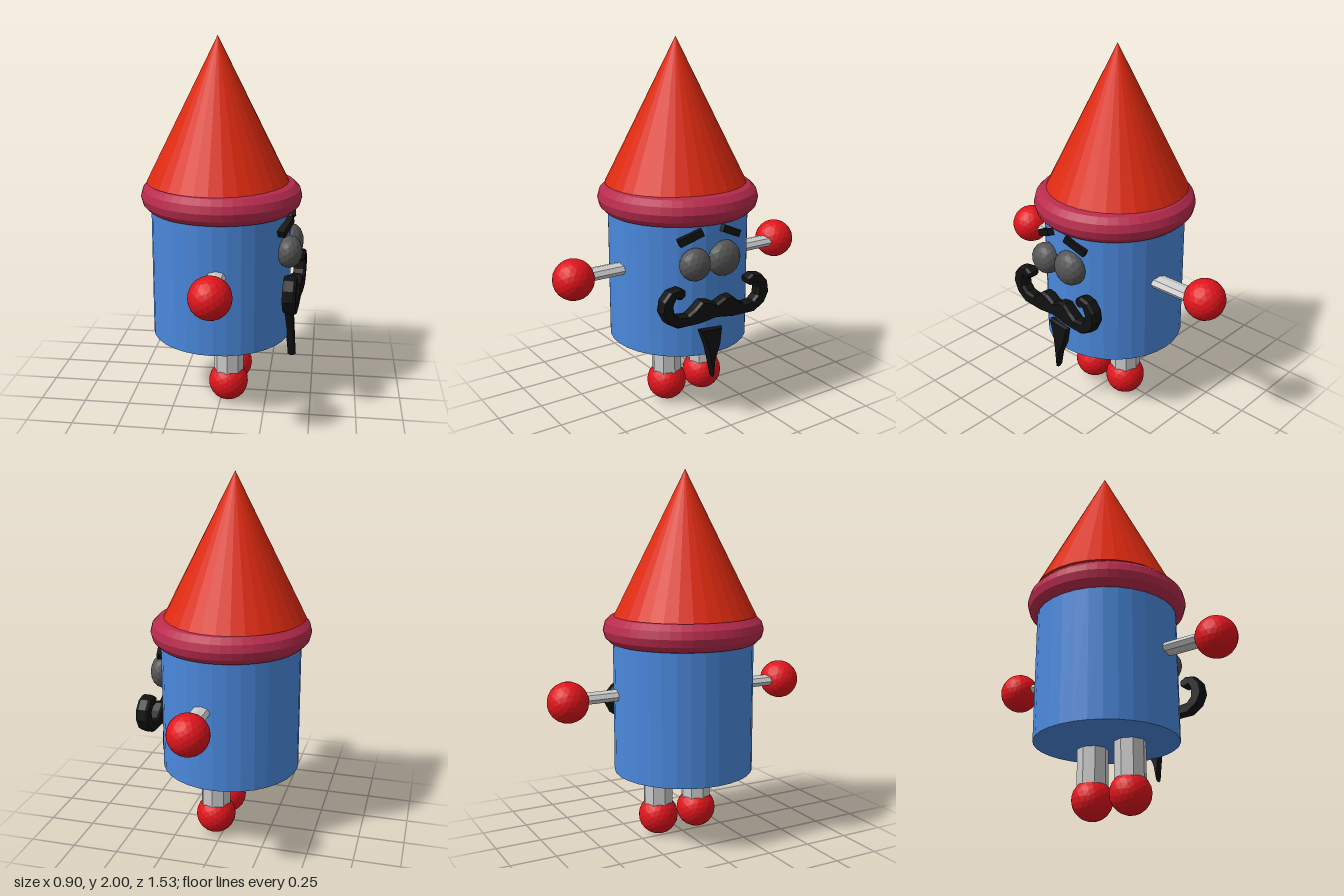
import * as THREE from 'three';

const material = (color) => new THREE.MeshStandardMaterial({ color, flatShading: true });
const RED = material(0xe0141c), HAT = material(0xe02a10), BRIM = material(0xb82b4d);
const BLUE = material(0x4a88dc), EYE = material(0x555555), BLACK = material(0x111111);
const GREY = material(0xcccccc);

export function createModel() {
  const group = new THREE.Group();

  function add(name, geometry, mat, x, y, z) {
    const mesh = new THREE.Mesh(geometry, mat);
    mesh.name = name;
    mesh.position.set(x, y, z);
    group.add(mesh);
    return mesh;
  }

  // Flat cut-out in the face plane: shape x runs towards -z, depth towards +x
  function plate(name, points, depth, x, z) {
    const shape = new THREE.Shape(points.map(([u, v]) => new THREE.Vector2(u, v)));
    const bevel = 0.015;
    const geometry = new THREE.ExtrudeGeometry(shape, {
      depth: depth - 2 * bevel, bevelThickness: bevel, bevelSize: 0.008,
      bevelOffset: -0.008, bevelSegments: 1,
    });
    geometry.translate(0, 0, bevel - depth / 2);
    const mesh = add(name, geometry, BLACK, x, 0, z);
    mesh.rotation.y = Math.PI / 2;
    return mesh;
  }

  // Body and hat
  add('body', new THREE.CylinderGeometry(0.38, 0.38, 0.78, 32), BLUE, -0.01, 0.77, 0);
  add('hatBrim', new THREE.TorusGeometry(0.353, 0.081, 12, 48), BRIM, -0.01, 1.16, 0)
    .rotation.x = Math.PI / 2;
  add('hatCone', new THREE.ConeGeometry(0.383, 0.765, 32), HAT, -0.03, 1.6175, 0);

  // Legs and feet
  const ball = new THREE.IcosahedronGeometry(0.109, 3);
  for (const [side, z] of [['left', -0.13], ['right', 0.11]]) {
    add(side + 'Leg', new THREE.CylinderGeometry(0.083, 0.083, 0.3, 8), GREY, 0.043, 0.27, z);
    add(side + 'Foot', ball, RED, 0.042, 0.113, z);
  }

  // Arms (flattened rods) and hands
  for (const [side, dir, armX, handX] of [['left', -1, 0.053, 0.03], ['right', 1, 0.008, 0.018]]) {
    const arm = add(side + 'Arm', new THREE.CylinderGeometry(0.053, 0.053, 0.28, 8), GREY,
      armX, 0.815, dir * 0.46);
    arm.rotation.x = Math.PI / 2;
    arm.scale.z = 0.62;
    add(side + 'Hand', ball, RED, handX, 0.812, dir * 0.655);
  }

  // Eyes, flattened against the face
  for (const [name, r, y, z] of [['rightEye', 0.087, 0.895, 0.145], ['leftEye', 0.097, 0.9, -0.033]]) {
    add(name, new THREE.IcosahedronGeometry(r, 2), EYE, 0.368, y, z).scale.x = 0.07 / r;
  }

  // Eyebrows
  for (const [name, x, y, z, yaw, tilt] of [
    ['rightEyebrow', 0.348, 1.035, 0.16, -0.35, 0.42],
    ['leftEyebrow', 0.362, 1.04, -0.073, 0.18, -0.42],
  ]) {
    add(name, new THREE.BoxGeometry(0.135, 0.038, 0.04), BLACK, x, y, z)
      .rotation.set(0, Math.PI / 2 + yaw, tilt);
  }

  // Moustache: one curled half, mirrored
  const half = [
    [0, 0.605], [0.1, 0.59], [0.23, 0.59], [0.295, 0.63], [0.325, 0.69], [0.315, 0.75],
    [0.275, 0.795], [0.22, 0.805], [0.185, 0.785], [0.185, 0.76], [0.21, 0.74], [0.24, 0.75],
    [0.255, 0.72], [0.25, 0.68], [0.225, 0.655], [0.17, 0.65], [0.13, 0.675], [0.09, 0.71],
    [0.05, 0.705], [0, 0.68],
  ];
  const mirrored = half.slice(1, -1).reverse().map(([u, v]) => [-u, v]);
  plate('moustache', [...half, ...mirrored], 0.07, 0.398, 0.045).rotation.y -= 0.06;

  // Pointed beard, tip swung slightly away from the body
  const beard = plate('beard', [
    [-0.07, 0.14], [-0.035, 0.03], [-0.012, -0.1], [0, -0.14],
    [0.018, -0.05], [0.055, 0.04], [0.07, 0.13], [0, 0.135],
  ], 0.045, 0.38, 0.05);
  beard.position.y = 0.395;
  beard.rotation.z = 0;
  beard.rotation.order = 'YXZ';
  beard.rotation.x = -0.08;

  return group;
}
